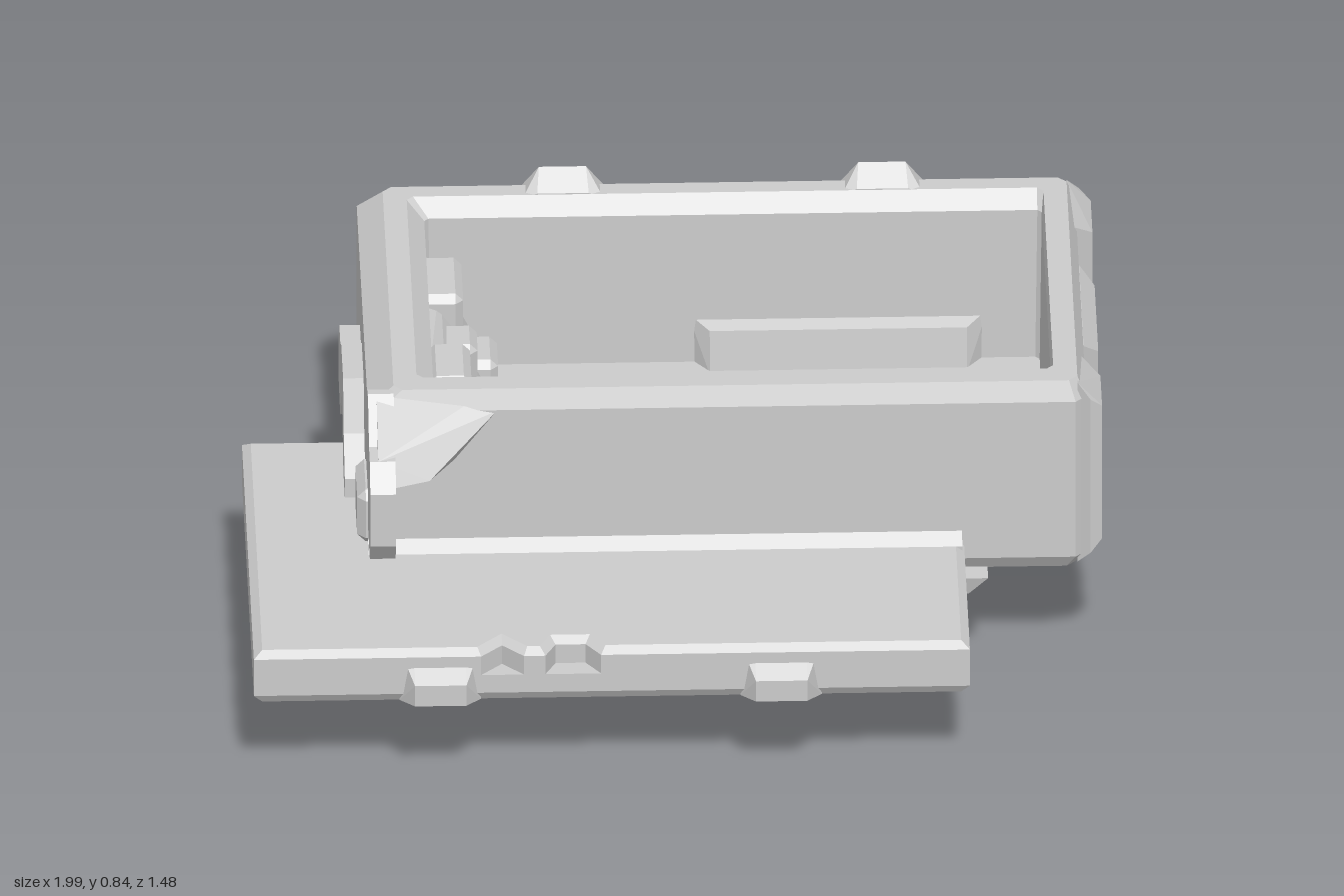
import * as THREE from 'three';
import { ConvexGeometry } from 'three/addons/geometries/ConvexGeometry.js';

const grey = new THREE.MeshStandardMaterial({ color: 0xcccccc });
grey.name = 'pale grey';

export function createModel() {
  const root = new THREE.Group();
  root.name = 'openCrate';
  const add = (name, geo) => {
    const mesh = new THREE.Mesh(geo, grey);
    mesh.name = name;
    root.add(mesh);
  };
  // Faceted solid around a few corner points
  const hull = (name, pts) => add(name, new ConvexGeometry(pts.map((p) => new THREE.Vector3(...p))));
  // Solid through level rectangles x0, x1, z0, z1, y
  const stack = (name, levels) => hull(name, levels.flatMap(([x0, x1, z0, z1, y]) =>
    [[x0, y, z0], [x1, y, z0], [x1, y, z1], [x0, y, z1]]));
  // Box with every edge chamfered by b
  const block = (name, x0, x1, y0, y1, z0, z1, b = 0.02) => {
    const pts = [];
    for (const [x, sx] of [[x0, 1], [x1, -1]])
      for (const [y, sy] of [[y0, 1], [y1, -1]])
        for (const [z, sz] of [[z0, 1], [z1, -1]])
          pts.push([x, y + sy * b, z + sz * b], [x + sx * b, y, z + sz * b], [x + sx * b, y + sy * b, z]);
    hull(name, pts);
  };
  // Side profile [z, y] stretched between two x positions
  const prismX = (name, x0, x1, profile) => {
    const shape = new THREE.Shape(profile.map(([z, y]) => new THREE.Vector2(-z, y)));
    const geo = new THREE.ExtrudeGeometry(shape, { depth: x1 - x0, bevelEnabled: false });
    geo.rotateY(Math.PI / 2);
    geo.translate(x0, 0, 0);
    add(name, geo);
  };

  // Hollow crate: rectangular rings up the outside, over the rim and down to the floor
  const rings = [ // x0, x1, z0, z1, y, corner cut
    [-0.67, 0.93, -0.7, 0.2, 0.286, 0.02],
    [-0.72, 0.955, -0.74, 0.225, 0.325, 0.025],
    [-0.72, 0.955, -0.74, 0.225, 0.745, 0.025],
    [-0.66, 0.935, -0.72, 0.205, 0.792, 0.02],
    [-0.605, 0.88, -0.675, 0.15, 0.792, 0.015],
    [-0.565, 0.875, -0.635, 0.13, 0.755, 0.01],
    [-0.56, 0.87, -0.63, 0.11, 0.36, 0.01],
  ].map(([x0, x1, z0, z1, y, c]) => [
    [x0, z1 - c], [x0 + c, z1], [x1 - c, z1], [x1, z1 - c],
    [x1, z0 + c], [x1 - c, z0], [x0 + c, z0], [x0, z0 + c],
  ].map(([x, z]) => [x, y, z]));
  const tri = [];
  rings.forEach((lo, i) => {
    const up = rings[i + 1];
    for (let j = 0; up && j < 8; j++) {
      const k = (j + 1) % 8;
      tri.push(lo[j], lo[k], up[k], lo[j], up[k], up[j]);
    }
  });
  const floor = rings[rings.length - 1];
  for (let j = 1; j < 7; j++) {
    tri.push(rings[0][0], rings[0][j + 1], rings[0][j]);
    tri.push(floor[0], floor[j], floor[j + 1]);
  }
  const crate = new THREE.BufferGeometry();
  crate.setAttribute('position', new THREE.Float32BufferAttribute(tri.flat(), 3));
  crate.computeVertexNormals();
  add('crateShell', crate);

  // Corner posts on the left end: outer z, then inner z
  for (const [name, zo, zi] of [['frontPost', 0.225, 0.03], ['backPost', -0.74, -0.535]]) {
    const s = Math.sign(zo - zi);
    hull(name, [
      ...[[0.3, zo - s * 0.02], [0.785, zo - s * 0.02], [0.35, zi], [0.77, zi]].map(([y, z]) => [0.935, y, z]),
      ...[[0.335, zo], [0.75, zo]].map(([y, z]) => [0.965, y, z]),
      ...[[0.365, zo - s * 0.015], [0.725, zo - s * 0.015], [0.39, zi + s * 0.045], [0.725, zi + s * 0.045]]
        .map(([y, z]) => [0.992, y, z]),
    ]);
  }

  // End panel with a small diamond pit
  const panel = new THREE.Shape([[0.185, 0.35], [0.185, 0.72], [-0.185, 0.72], [-0.185, 0.35]]
    .map((p) => new THREE.Vector2(...p)));
  panel.holes.push(new THREE.Path([[0, 0.487], [0.003, 0.49], [0, 0.493], [-0.003, 0.49]]
    .map((p) => new THREE.Vector2(...p))));
  const panelGeo = new THREE.ExtrudeGeometry(panel, {
    depth: 0.005, bevelThickness: 0.035, bevelSize: 0.035, bevelOffset: -0.035, bevelSegments: 1,
  });
  panelGeo.rotateY(Math.PI / 2);
  panelGeo.translate(0.952, 0, -0.255);
  add('endPanel', panelGeo);

  // Tabs on the back rim
  for (const x of [-0.24, 0.505])
    hull('rimTab', [-1, 1].flatMap((s) => [
      [x + s * 0.095, 0.78, -0.675], [x + s * 0.095, 0.78, -0.74],
      [x + s * 0.055, 0.838, -0.725], [x + s * 0.055, 0.82, -0.74], [x + s * 0.06, 0.795, -0.675],
    ]));

  // Wide plate underneath: plain lower layer, notched upper layer
  stack('plateLower', [[-0.98, 0.65, -0.26, 0.685, 0.238], [-1, 0.67, -0.28, 0.7, 0.262],
    [-1, 0.67, -0.28, 0.7, 0.31]]);
  const top = [[-1, -0.28], [0.67, -0.28], [0.67, 0.7],
    [-0.19, 0.7], [-0.225, 0.65], [-0.295, 0.65], [-0.32, 0.7],
    [-0.37, 0.7], [-0.42, 0.65], [-0.47, 0.7], [-1, 0.7]];
  const topGeo = new THREE.ExtrudeGeometry(new THREE.Shape(top.map((p) => new THREE.Vector2(...p))), {
    depth: 0.05, bevelThickness: 0.015, bevelSize: 0.02, bevelOffset: -0.02, bevelSegments: 1,
  });
  topGeo.rotateX(Math.PI / 2);
  topGeo.translate(0, 0.36, 0);
  add('plateUpper', topGeo);
  for (const x of [-0.565, 0.23])
    hull('plateTab', [-1, 1].flatMap((s) => [
      [x + s * 0.095, 0.24, 0.69], [x + s * 0.095, 0.36, 0.65], [x + s * 0.06, 0.25, 0.738],
      [x + s * 0.06, 0.305, 0.738], [x + s * 0.06, 0.373, 0.64],
    ]));

  // Bevelled base under the crate
  stack('crateBase', [[-0.63, 0.68, -0.67, 0.24, 0.238], [-0.66, 0.725, -0.7, 0.255, 0.288]]);
  // Sloped foot of the front wall
  prismX('frontFoot', -0.72, 0.665, [[0.255, 0.3], [0.255, 0.375], [0.225, 0.4], [0.2, 0.4], [0.2, 0.3]]);

  // Pegs and their heads on the crate floor
  for (const [x, x0, x1] of [[-0.26, -0.39, -0.14], [0.53, 0.36, 0.65]]) {
    block('peg', x - 0.045, x + 0.045, 0, 0.26, -0.278, -0.233, 0.02);
    block('pegHead', x0, x1, 0.33, 0.43, -0.31, -0.21, 0.035);
  }
  // Slanted brace on the floor
  hull('floorBrace', [
    [0.34, 0.35, -0.23], [0.46, 0.35, -0.23], [0.37, 0.42, -0.23], [0.44, 0.42, -0.23],
    [0.37, 0.35, -0.05], [0.47, 0.35, 0.1], [0.64, 0.35, 0.1], [0.64, 0.35, 0.03],
    [0.5, 0.41, 0.05], [0.62, 0.41, 0.05],
  ]);

  // Low ledge at the foot of the back inner wall
  hull('backLedge', [[0.05, 0.48, -0.65], [0.75, 0.48, -0.65], [0.1, 0.46, -0.6], [0.7, 0.46, -0.6],
    [0.1, 0.35, -0.585], [0.7, 0.35, -0.585], [0.05, 0.35, -0.65], [0.75, 0.35, -0.65]]);

  // Crumbled heap against the right inner wall, with rough steps
  hull('heap', [[-0.58, 0.66, -0.58], [-0.58, 0.66, 0.05], [-0.53, 0.64, -0.56], [-0.53, 0.62, 0.02],
    [-0.38, 0.35, -0.54], [-0.34, 0.35, 0.06], [-0.58, 0.35, -0.6], [-0.58, 0.35, 0.1]]);
  [[-0.53, 0.65, -0.5, 0.1], [-0.5, 0.59, -0.33, 0.06], [-0.52, 0.63, -0.15, 0.09], [-0.45, 0.5, -0.42, 0.07],
    [-0.45, 0.5, -0.08, 0.08], [-0.5, 0.57, 0.07, 0.05], [-0.42, 0.44, 0.07, 0.05], [-0.37, 0.41, -0.16, 0.05],
    [-0.33, 0.4, -0.08, 0.05], [-0.29, 0.39, 0.01, 0.05], [-0.24, 0.39, 0.08, 0.04], [-0.14, 0.38, 0.1, 0.04]]
    .forEach(([x, y, z, r]) => block('rubble', x - 0.05, x + 0.05, y - 0.08, y + 0.03, z - r, z + r, 0.018));
  block('rubbleStrip', -0.1, 0.13, 0.33, 0.41, 0.06, 0.13, 0.02);

  // Stepped arch on the right end
  prismX('endArch', -0.768, -0.7, [[0, 0.38], [0, 0.43], [-0.09, 0.5], [-0.14, 0.62], [-0.3, 0.62],
    [-0.36, 0.58], [-0.45, 0.58], [-0.51, 0.52], [-0.51, 0.4], [-0.38, 0.38], [-0.3, 0.48],
    [-0.2, 0.48], [-0.12, 0.38]]);
  block('endFoot', -0.745, -0.69, 0.38, 0.52, 0.04, 0.22, 0.02);

  // Broken hook at the front right corner
  prismX('cornerHook', -0.72, -0.66, [[0.2, 0.43], [0.365, 0.43], [0.41, 0.49], [0.41, 0.63],
    [0.36, 0.69], [0.3, 0.695], [0.21, 0.785], [0.19, 0.785]]);
  hull('cornerHookSlope', [[-0.7, 0.63, 0.21], [-0.7, 0.69, 0.36], [-0.66, 0.63, 0.38], [-0.58, 0.63, 0.35],
    [-0.7, 0.78, 0.21], [-0.48, 0.76, 0.21], [-0.42, 0.74, 0.22], [-0.52, 0.64, 0.27], [-0.5, 0.64, 0.21]]);
  return root;
}
